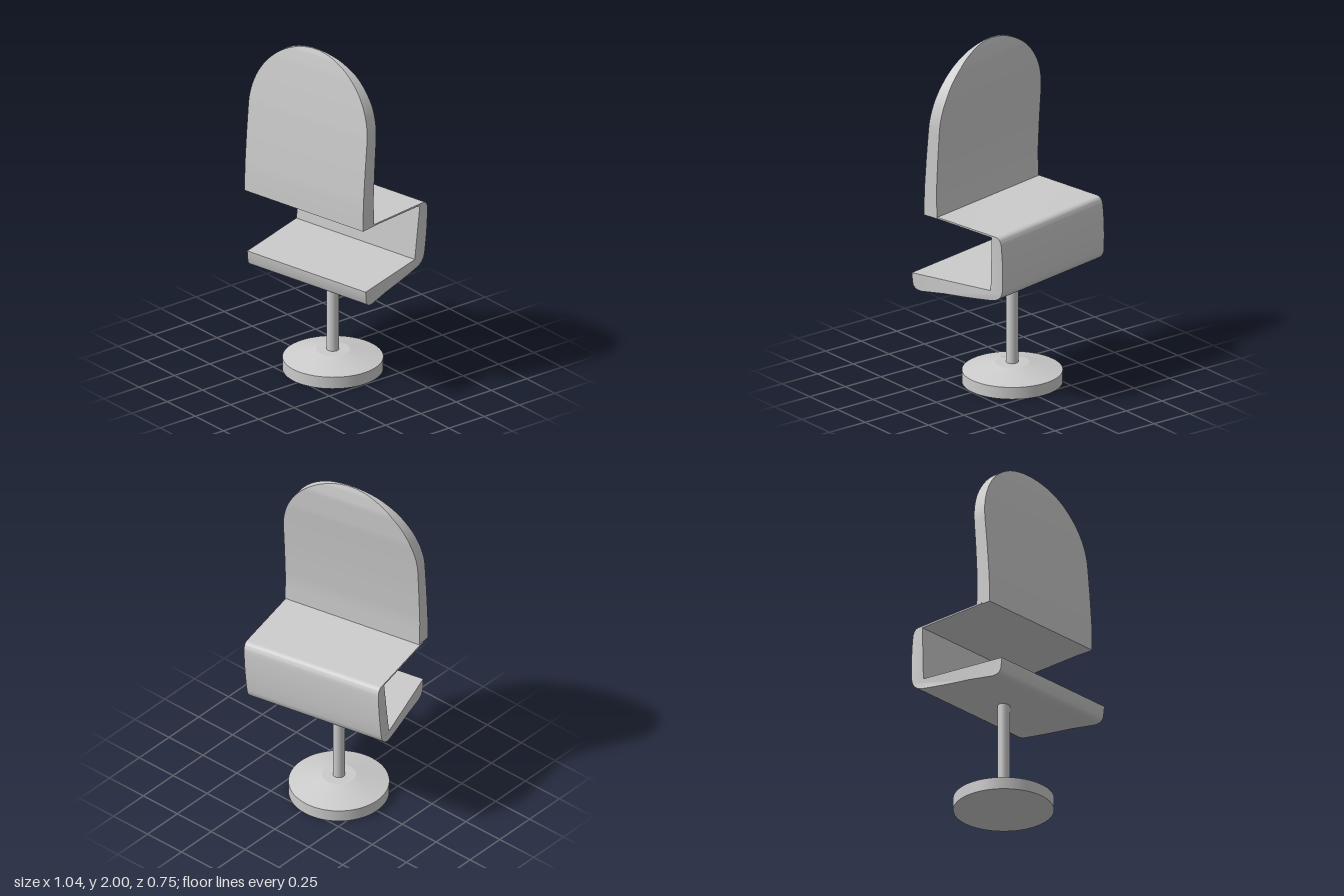
import * as THREE from 'three';
import { toCreasedNormals } from 'three/addons/utils/BufferGeometryUtils.js';

const { lerp, clamp } = THREE.MathUtils;
const material = new THREE.MeshStandardMaterial({ color: 0xcccccc, side: THREE.DoubleSide });
const HALF = 0.43; // half width of seat and back

function part(name, geometry, parent) {
  const mesh = new THREE.Mesh(geometry, material);
  mesh.name = name;
  parent.add(mesh);
  return mesh;
}

// Move every vertex by a rule
function deform(geometry, rule) {
  const p = geometry.attributes.position;
  const v = new THREE.Vector3();
  for (let i = 0; i < p.count; i++) {
    rule(v.fromBufferAttribute(p, i));
    p.setXYZ(i, v.x, v.y, v.z);
  }
  geometry.computeVertexNormals();
  return geometry;
}

// Piecewise linear lookup in rows of [key, value, value...]
function lookup(rows, key, column) {
  let i = 1;
  while (i < rows.length - 1 && rows[i][0] < key) i++;
  const [a, b] = [rows[i - 1], rows[i]];
  return lerp(a[column], b[column], clamp((key - a[0]) / (b[0] - a[0]), 0, 1));
}

// C-shaped seat, rear wall and thin shelf: one side profile swept across
function seatGeometry() {
  const s = new THREE.Shape();
  s.moveTo(0.2, 1.06);
  s.lineTo(0.165, 1.058);
  s.lineTo(-0.26, 1.047);
  s.quadraticCurveTo(-0.298, 1.048, -0.303, 1.0);
  s.quadraticCurveTo(-0.309, 0.9, -0.303, 0.8);
  s.lineTo(-0.298, 0.73);
  s.quadraticCurveTo(-0.29, 0.67, -0.225, 0.655);
  s.quadraticCurveTo(-0.1, 0.64, 0.085, 0.631);
  s.lineTo(0.235, 0.615);
  s.quadraticCurveTo(0.285, 0.615, 0.293, 0.65);
  s.lineTo(0.3, 0.712);
  s.lineTo(-0.212, 0.712);
  s.lineTo(-0.235, 1.037);
  s.lineTo(0.2, 1.05);
  s.closePath();
  const g = new THREE.ExtrudeGeometry(s, { depth: 2 * HALF, bevelEnabled: false, curveSegments: 8 });
  g.rotateY(-Math.PI / 2).translate(HALF, 0, 0);
  // the ends are slanted: the seat drifts sideways towards its front
  deform(g, (v) => {
    const low = Math.max(-0.01 + 0.15 * v.z, -0.043);
    v.x += lerp(low, -0.024, clamp((v.y - 0.72) / 0.32, 0, 1));
  });
  return toCreasedNormals(g, 0.5);
}

// Arched backrest: a box whose rows follow height, width and depth rules
function backGeometry() {
  const depth = [ // height, front, rear
    [1.05, 0.258, 0.162], [1.2, 0.255, 0.167], [1.4, 0.24, 0.157], [1.6, 0.221, 0.143],
    [1.75, 0.203, 0.13], [1.9, 0.181, 0.127], [1.97, 0.167, 0.138], [2, 0.157, 0.148],
  ];
  const g = new THREE.BoxGeometry(2, 1, 1, 1, 40, 1);
  return deform(g, (v) => {
    const t = v.y + 0.5;
    const angle = Math.max(0, (t - 0.25) / 0.75) * Math.PI / 2;
    const y = t < 0.25 ? lerp(1.05, 1.57, t / 0.25) : 1.57 + 0.43 * Math.sin(angle);
    v.x = v.x * Math.max(0.03, HALF * Math.cos(angle)) - 0.02;
    v.z = lookup(depth, y, v.z > 0 ? 1 : 2);
    v.y = y;
  });
}

export function createModel() {
  const model = new THREE.Group();
  model.name = 'swivelChair';

  // Turned upper part
  const top = new THREE.Group();
  top.name = 'seatAndBack';
  top.rotation.y = 0.196;
  model.add(top);
  part('seat', seatGeometry(), top);
  part('backrest', backGeometry(), top);

  // Pedestal
  const pedestal = new THREE.Group();
  pedestal.name = 'pedestal';
  pedestal.position.x = -0.033;
  model.add(pedestal);
  part('pole', new THREE.CylinderGeometry(0.034, 0.034, 0.535, 32, 1, true), pedestal).position.y = 0.375;
  part('baseDisc', new THREE.CylinderGeometry(0.28, 0.28, 0.07, 64), pedestal).position.y = 0.035;
  part('baseCone', new THREE.CylinderGeometry(0.095, 0.28, 0.046, 64), pedestal).position.y = 0.093;

  return model;
}
